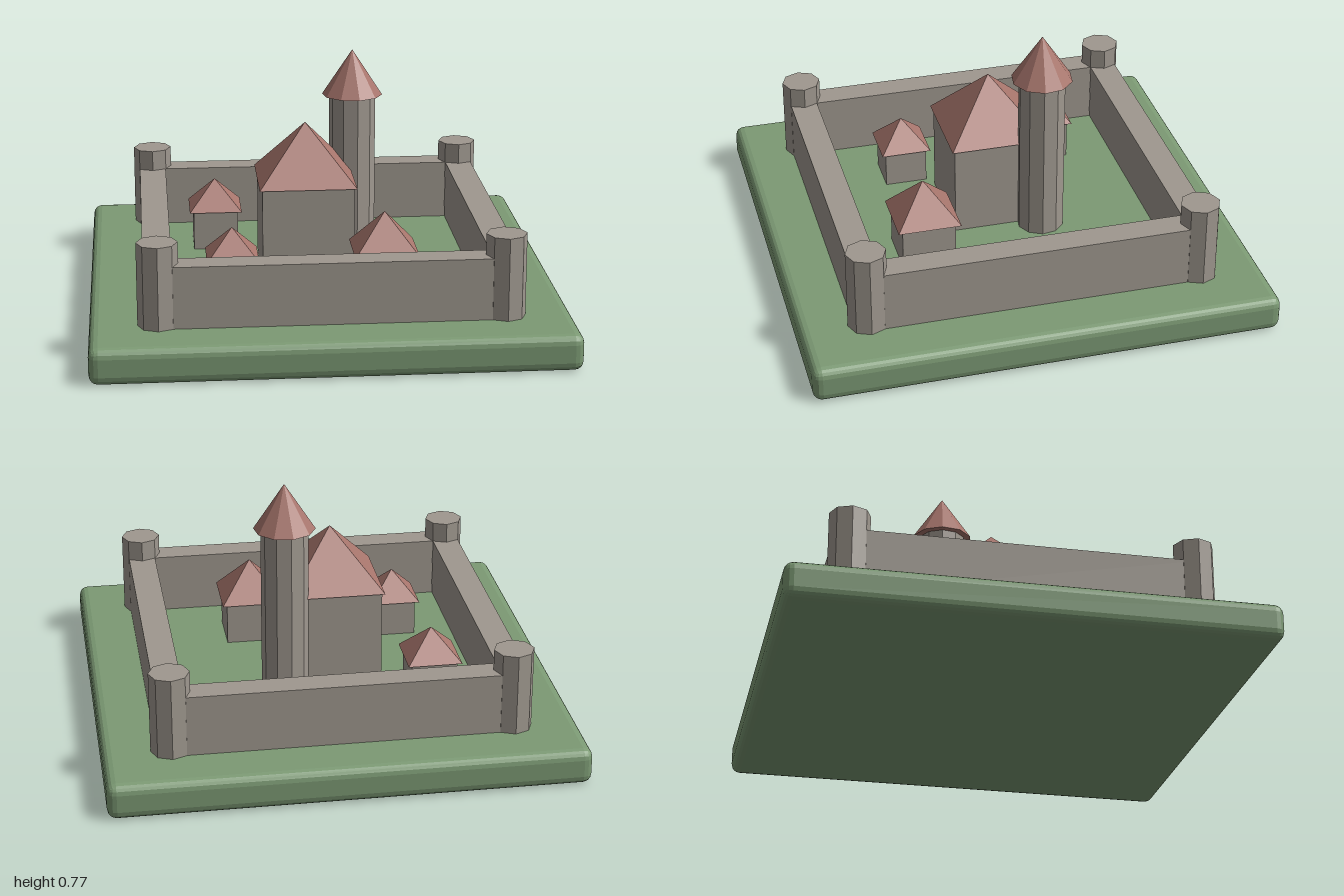
import * as THREE from 'three';
import { RoundedBoxGeometry } from 'three/addons/geometries/RoundedBoxGeometry.js';

const GROUND = 0.115;

function material(name, color) {
  const m = new THREE.MeshStandardMaterial({ color });
  m.name = name;
  m.flatShading = true;
  return m;
}

export function createModel() {
  const model = new THREE.Group();
  model.name = 'walledCastle';
  const grass = material('grass green', 0x7c9a74);
  const stone = material('warm grey stone', 0x9f988f);
  const tile = material('roof red', 0xa8766d);

  function add(name, geometry, mat, x, y, z, turn = 0, parent = model) {
    const mesh = new THREE.Mesh(geometry, mat);
    mesh.name = name;
    mesh.position.set(x, y, z);
    mesh.rotation.y = turn;
    parent.add(mesh);
    return mesh;
  }

  // Round or square column standing on the ground, up to height top
  function column(name, radius, top, sides, x, z, parent = model) {
    const h = top - GROUND + 0.01;
    add(name, new THREE.CylinderGeometry(radius, radius, h, sides), stone, x, top - h / 2, z, 0, parent);
  }

  // Pointed roof from eaves to apex
  function roof(name, radius, eaves, apex, sides, x, z, parent = model) {
    add(name, new THREE.ConeGeometry(radius, apex - eaves, sides), tile, x, (eaves + apex) / 2, z, 0, parent);
  }

  // Rounded square base set on its diagonal
  add('base', new RoundedBoxGeometry(1.432, 0.11, 1.432, 2, 0.028), grass, 0, 0.06 - 0.002, 0, Math.PI / 4);

  // Curtain walls and corner towers
  const R = 0.725;
  const wallHeight = 0.302 - GROUND + 0.01;
  for (let i = 0; i < 4; i++) {
    const a = i * Math.PI / 2;
    const mid = a + Math.PI / 4;
    add('curtainWall', new THREE.BoxGeometry(R * Math.SQRT2, wallHeight, 0.085), stone,
      Math.sin(mid) * R / Math.SQRT2, 0.302 - wallHeight / 2, Math.cos(mid) * R / Math.SQRT2, mid);
    column('cornerTower', 0.061, 0.367, 8, Math.sin(a) * R, Math.cos(a) * R);
  }

  // Buildings: name, x, z, body radius, roof radius, eaves, apex, sides
  const buildings = [
    ['greatHall', -0.03, -0.028, 0.201, 0.213, 0.402, 0.58, 4],
    ['tallTower', 0.174, -0.006, 0.073, 0.095, 0.634, 0.778, 10],
    ['backHouse', -0.046, -0.4, 0.1, 0.118, 0.238, 0.33, 4],
    ['sideHouse', -0.362, 0.0 - 0.037, 0.094, 0.112, 0.227, 0.316, 4],
    ['frontHouse', -0.06, 0.315, 0.118, 0.139, 0.247, 0.366, 4],
  ];
  for (const [name, x, z, bodyR, roofR, eaves, apex, sides] of buildings) {
    const group = new THREE.Group();
    group.name = name;
    column(name + 'Body', bodyR, eaves, sides, x, z, group);
    roof(name + 'Roof', roofR, eaves, apex, sides, x, z, group);
    model.add(group);
  }

  return model;
}
